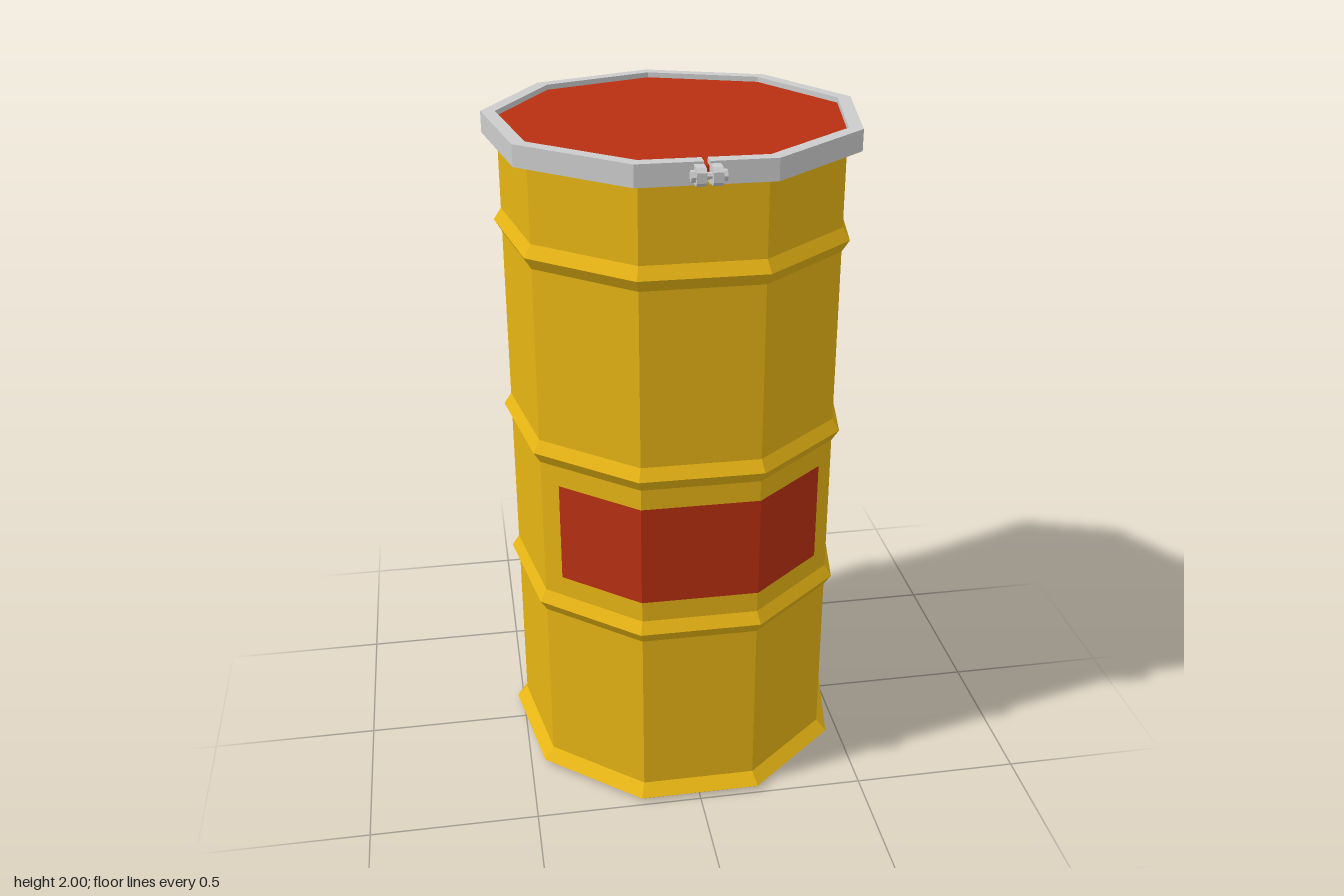
import * as THREE from 'three';

const SIDES = 9;
const CZ = -0.007; // axis of the drum, shifted back to balance the clamp

const mat = (color, side = THREE.FrontSide) =>
  new THREE.MeshStandardMaterial({ color, side, flatShading: true });

// Nine-sided turned part with one corner at the back
function turned(name, profile, material) {
  const points = profile.map(([r, y]) => new THREE.Vector2(r, y));
  const mesh = new THREE.Mesh(new THREE.LatheGeometry(points, SIDES, Math.PI), material);
  mesh.name = name;
  mesh.position.z = CZ;
  return mesh;
}

// Corner i of the nine-sided outline, counted from the front-left corner
function corner(r, i) {
  const a = Math.PI / SIDES + (i * 2 * Math.PI) / SIDES;
  return [r * Math.sin(a), r * Math.cos(a)];
}

export function createModel() {
  const drum = new THREE.Group();
  drum.name = 'drum';
  const yellow = mat(0xe6b414);
  const red = mat(0xb93012);
  const grey = mat(0xcccccc);

  // Barrel: recessed base, flared foot, three ribs and a top flange
  const R = 0.495;
  const profile = [[0, 0.045], [0.485, 0.045], [0.495, 0.006], [0.51, 0], [0.528, 0.015], [R, 0.05]];
  for (const y of [0.605, 1.105, 1.688]) {
    profile.push([R, y - 0.035], [0.517, y], [R, y + 0.035]);
  }
  profile.push([R, 1.945], [0.53, 1.95], [0.53, 1.965], [0, 1.965]);
  drum.add(turned('barrel', profile, yellow));

  // Lid held inside the clamp ring
  drum.add(turned('lid', [[0, 1.966], [0.522, 1.966], [0.522, 1.985], [0, 1.985]], red));

  // Clamp ring, split at the front
  const gap = 0.008;
  const ro = 0.538, ri = 0.497;
  const front = (r) => r * Math.cos(Math.PI / SIDES);
  const outline = [[gap, front(ro)]];
  for (let i = 0; i < SIDES; i++) outline.push(corner(ro, i));
  outline.push([-gap, front(ro)], [-gap, front(ri)]);
  for (let i = SIDES - 1; i >= 0; i--) outline.push(corner(ri, i));
  outline.push([gap, front(ri)]);
  const ringShape = new THREE.Shape(outline.map(([x, z]) => new THREE.Vector2(x, -z)));
  const ringGeo = new THREE.ExtrudeGeometry(ringShape, { depth: 0.06, bevelEnabled: false });
  ringGeo.rotateX(-Math.PI / 2);
  const ring = new THREE.Mesh(ringGeo, grey);
  ring.name = 'clampRing';
  ring.position.set(0, 1.94, CZ);
  drum.add(ring);

  // Clamp lugs with a bolt through them
  const clamp = new THREE.Group();
  clamp.name = 'clamp';
  clamp.position.set(0, 1.97, 0);
  const lugShape = new THREE.Shape(
    [[0.49, -0.024], [0.532, -0.024], [0.544, -0.013], [0.544, 0.013], [0.532, 0.024], [0.49, 0.024]]
      .map(([z, y]) => new THREE.Vector2(-z, y)));
  const lugGeo = new THREE.ExtrudeGeometry(lugShape, { depth: 0.026, bevelEnabled: false });
  lugGeo.translate(0, 0, -0.013).rotateY(Math.PI / 2);
  const headGeo = new THREE.CylinderGeometry(0.016, 0.016, 0.012, 6).rotateZ(Math.PI / 2);
  for (const s of [1, -1]) {
    const lug = new THREE.Mesh(lugGeo, grey);
    lug.name = s > 0 ? 'leftLug' : 'rightLug';
    lug.position.x = s * (gap + 0.013);
    const head = new THREE.Mesh(headGeo, grey);
    head.name = s > 0 ? 'boltHead' : 'boltNut';
    head.position.set(s * 0.04, 0, 0.521);
    clamp.add(lug, head);
  }
  const bolt = new THREE.Mesh(new THREE.CylinderGeometry(0.009, 0.009, 0.08, 6).rotateZ(Math.PI / 2), grey);
  bolt.name = 'bolt';
  bolt.position.z = 0.521;
  clamp.add(bolt);
  // Lugs are drawn towards -z by the quarter turn, so mirror-check their facing
  lugGeo.computeBoundingBox();
  if (lugGeo.boundingBox.max.z < 0) lugGeo.rotateY(Math.PI);
  drum.add(clamp);

  // Label band wrapped over three front faces
  const [cx, cz] = corner(R + 0.003, 0);
  const [dx, dz] = corner(R + 0.003, 1);
  const t = (0.382 - cx) / (dx - cx);
  const ez = cz + (dz - cz) * t;
  const path = [[-0.382, ez], [-cx, cz], [cx, cz], [0.382, ez]];
  const labelGeo = new THREE.PlaneGeometry(1, 0.305, 3, 1);
  const pos = labelGeo.attributes.position;
  for (let i = 0; i < pos.count; i++) {
    const [x, z] = path[i % 4];
    pos.setXYZ(i, x, pos.getY(i), z);
  }
  labelGeo.computeVertexNormals();
  const label = new THREE.Mesh(labelGeo, mat(0xb93012, THREE.DoubleSide));
  label.name = 'label';
  label.position.set(0, 0.857, CZ);
  drum.add(label);

  return drum;
}
